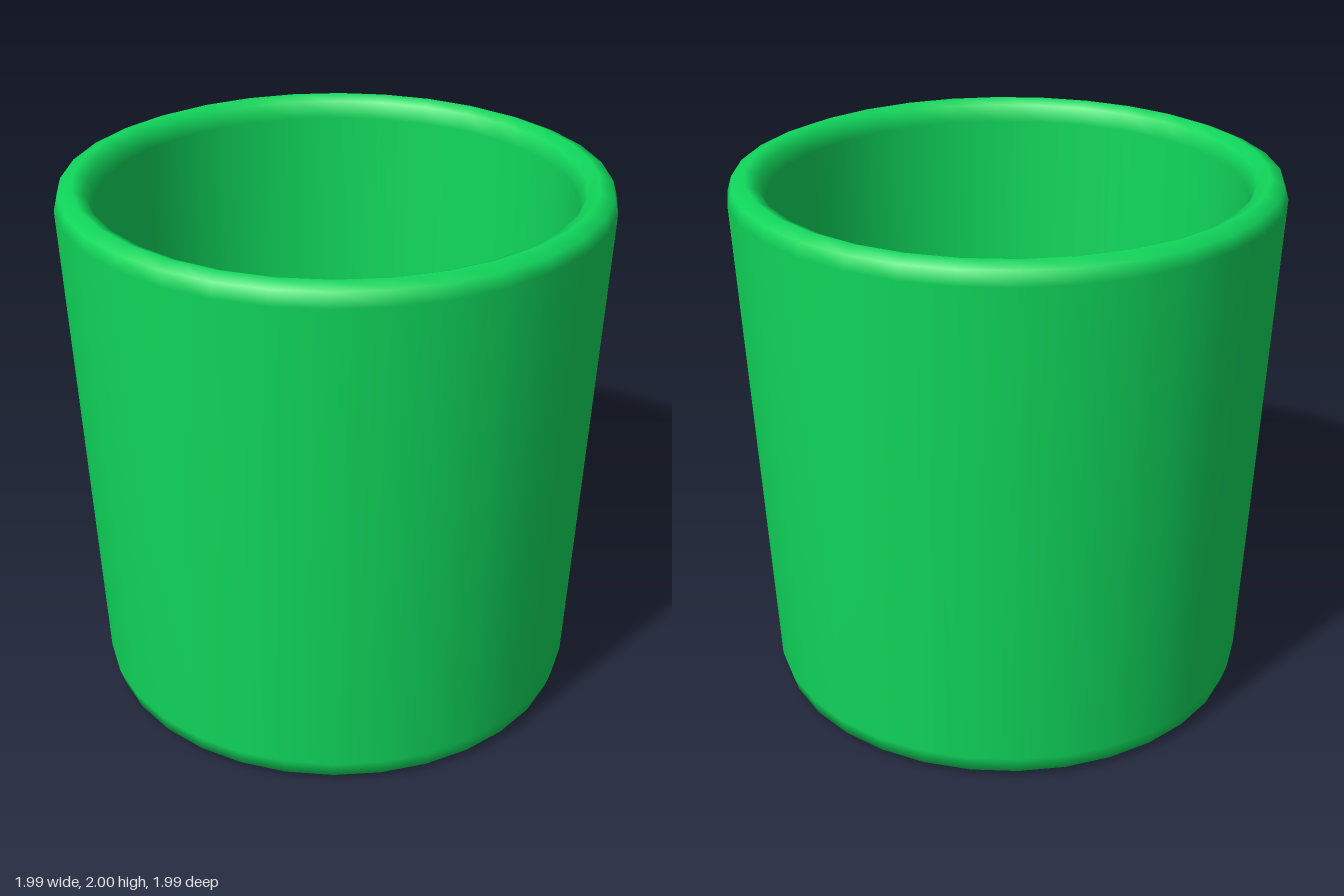
import * as THREE from 'three';

export function createModel() {
  const group = new THREE.Group();
  group.name = 'cup';

  // Closed cross-section: base, outer wall, rounded rim, inner wall, inner floor
  const profile = [
    [0, 0], [0.83, 0], [0.885, 0.025], [0.905, 0.09],
    [0.995, 1.93], [0.98, 1.98], [0.93, 2],
    [0.885, 1.98], [0.862, 1.92],
    [0.85, 0.2], [0.82, 0.14], [0, 0.13],
  ].map(([r, y]) => new THREE.Vector2(r, y));

  const material = new THREE.MeshStandardMaterial({ color: 0x10d85c });
  const body = new THREE.Mesh(new THREE.LatheGeometry(profile, 32), material);
  body.name = 'cupBody';
  group.add(body);
  return group;
}
